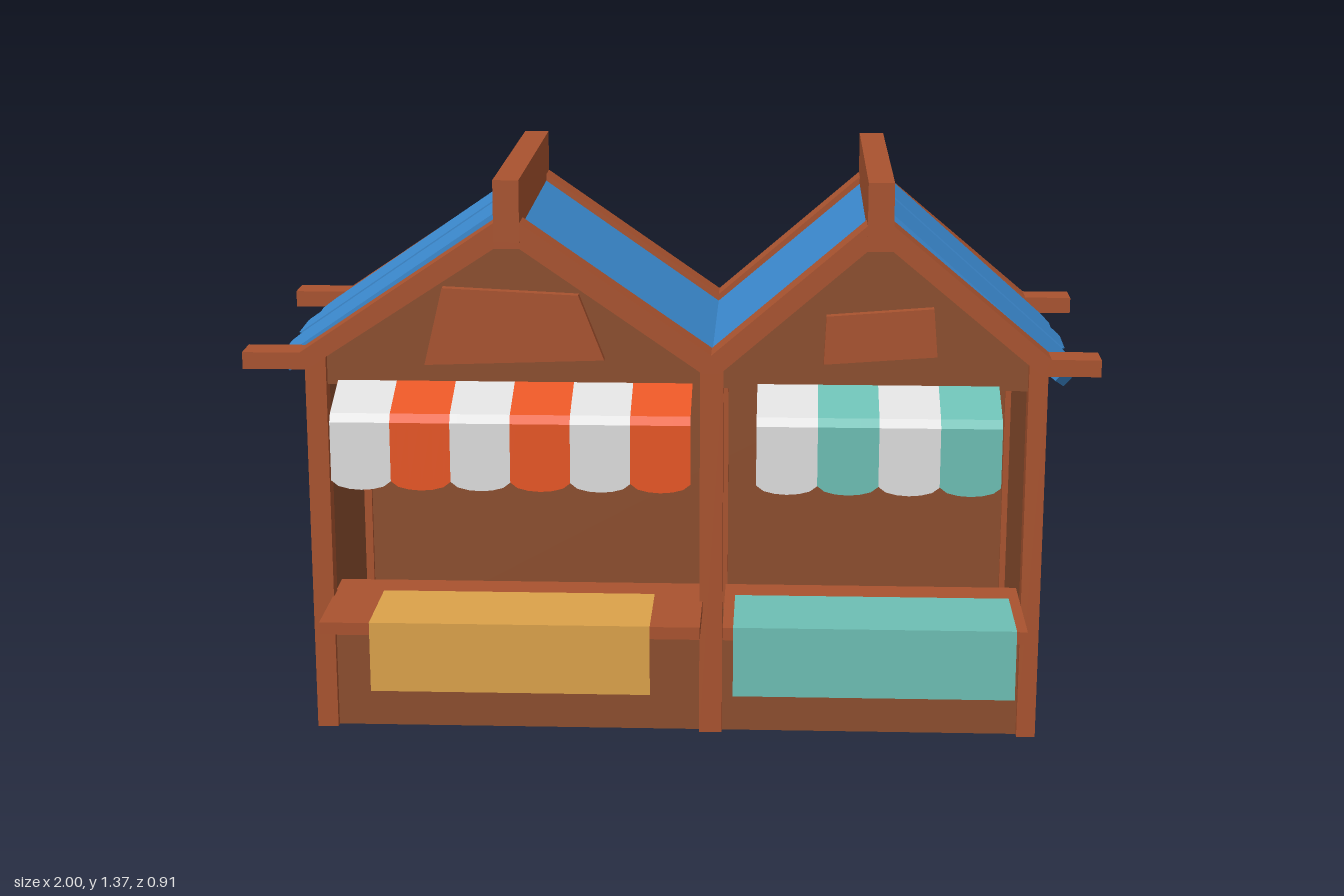
import * as THREE from 'three';

export function createModel() {
  const root = new THREE.Group();
  const mat = (name, color, side = THREE.FrontSide) => {
    const m = new THREE.MeshStandardMaterial({ color, side });
    m.name = name;
    return m;
  };
  const wallWood = mat('wall wood', 0x8c4e2e);
  const trimWood = mat('trim wood', 0xa9532f);
  const blue = mat('roof blue', 0x3b8ad0);
  const white = mat('awning white', 0xdedede, THREE.DoubleSide);
  const orange = mat('awning orange', 0xec5826, THREE.DoubleSide);
  const teal = mat('cloth teal', 0x6dbfb4, THREE.DoubleSide);
  const yellow = mat('cloth yellow', 0xdca24a, THREE.DoubleSide);

  const add = (name, geo, material) => {
    const mesh = new THREE.Mesh(geo, material);
    mesh.name = name;
    root.add(mesh);
    return mesh;
  };
  // box given by its limits on each axis
  const box = (name, m, x0, x1, y0, y1, z0, z1) => {
    const g = new THREE.BoxGeometry(x1 - x0, y1 - y0, z1 - z0);
    g.translate((x0 + x1) / 2, (y0 + y1) / 2, (z0 + z1) / 2);
    return add(name, g, m);
  };
  const shapeOf = (pts) => new THREE.Shape(pts.map(([x, y]) => new THREE.Vector2(x, y)));
  // outline in x and y, extruded from z0 to z1
  const slab = (name, m, pts, z0, z1) => {
    const g = new THREE.ExtrudeGeometry(shapeOf(pts), { depth: z1 - z0, bevelEnabled: false });
    g.translate(0, 0, z0);
    return add(name, g, m);
  };

  // corner and middle posts
  for (const [x0, x1] of [[-0.865, -0.815], [0.07, 0.125], [0.84, 0.885]]) {
    box('frontPost', trimWood, x0, x1, 0, 0.93, 0.21, 0.257);
    box('backPost', trimWood, x0, x1, 0, 0.93, -0.393, -0.348);
  }

  // side walls and partition
  box('rightWall', wallWood, -0.853, -0.835, 0, 0.92, -0.36, 0.22);
  box('leftWall', wallWood, 0.855, 0.873, 0, 0.92, -0.36, 0.22);
  box('partition', wallWood, 0.088, 0.106, 0, 0.92, -0.36, 0.22);

  // back wall and front gables, both following the double roof line
  const roofLine = [[0.86, 0.93], [0.5, 1.23], [0.47, 1.23], [0.0975, 0.93], [-0.36, 1.23], [-0.39, 1.23], [-0.84, 0.93]];
  slab('backWall', wallWood, [[-0.84, 0], [0.86, 0], ...roofLine], -0.378, -0.36);
  slab('frontGable', wallWood, [[-0.84, 0.86], [0.86, 0.86], ...roofLine], 0.22, 0.238);
  box('frontWallRight', wallWood, -0.83, 0.08, 0, 0.31, 0.222, 0.238);
  box('frontWallLeft', wallWood, 0.11, 0.86, 0, 0.31, 0.222, 0.238);

  // zigzag roof trim, front and back
  const trim = [
    [-1, 0.915], [-0.85, 0.915], [-0.405, 1.205], [-0.345, 1.205], [0.075, 0.915], [0.12, 0.915],
    [0.455, 1.205], [0.515, 1.205], [0.865, 0.915], [1, 0.915],
    [1, 0.955], [0.885, 0.955], [0.515, 1.265], [0.455, 1.265], [0.0975, 0.957],
    [-0.345, 1.265], [-0.405, 1.265], [-0.865, 0.955], [-1, 0.955],
  ];
  slab('frontRoofTrim', trimWood, trim, 0.236, 0.318);
  slab('backRoofTrim', trimWood, trim, -0.455, -0.376);

  // ridge beams
  box('ridgeBeam', trimWood, -0.405, -0.345, 1.22, 1.365, -0.456, 0.319);
  box('ridgeBeam', trimWood, 0.455, 0.515, 1.22, 1.365, -0.456, 0.319);

  // flat roof sheets, one on each slope
  const slopes = [
    [-0.87, 0.94, -0.39, 1.26], [-0.36, 1.26, 0.0975, 0.94],
    [0.0975, 0.94, 0.47, 1.26], [0.5, 1.26, 0.885, 0.94],
  ];
  for (const [x0, y0, x1, y1] of slopes)
    slab('roofSheet', blue, [[x0, y0 - 0.025], [x1, y1 - 0.025], [x1, y1], [x0, y0]], -0.377, 0.237);

  // loose planks on the outer slopes: [z0, z1, length factor, cut at each low corner]
  const planks = [
    [-0.372, -0.252, 0.95, 0.03, 0.008], [-0.25, -0.077, 0.985, 0.006, 0.012],
    [-0.075, 0.038, 1, 0.03, 0.004], [0.04, 0.235, 0.97, 0.006, 0.035],
  ];
  const plankRow = (s, top, low) => {
    const dir = new THREE.Vector3(low[0] - top[0], low[1] - top[1], 0);
    const len = dir.length();
    dir.normalize();
    const across = new THREE.Vector3(0, 0, -s);
    const normal = new THREE.Vector3().crossVectors(dir, across);
    planks.forEach(([z0, z1, f, c0, c1], i) => {
      const L = len * f;
      const pts = [[0, z0], [L - c0, z0], [L, z0 + c0 * 0.6 + 0.01], [L - 0.004, z1 - c1 * 0.6 - 0.01], [L - c1, z1], [0, z1]]
        .map(([u, z]) => [u, -s * z]);
      const thick = 0.036 + (i % 2) * 0.003;
      const g = new THREE.ExtrudeGeometry(shapeOf(pts), { depth: thick, bevelEnabled: false });
      g.translate(0, 0, -0.036);
      const m = new THREE.Matrix4().makeBasis(dir, across, normal).setPosition(top[0], top[1], 0);
      add('roofPlank', g.applyMatrix4(m), blue);
    });
  };
  plankRow(1, [0.515, 1.275], [0.967, 0.877]);
  plankRow(-1, [-0.405, 1.275], [-0.952, 0.9]);

  // crooked gable signs
  slab('gableSign', trimWood, [[-0.58, 0.915], [-0.155, 0.93], [-0.215, 1.085], [-0.535, 1.1]], 0.23, 0.262);
  slab('gableSign', trimWood, [[0.36, 0.925], [0.625, 0.945], [0.615, 1.06], [0.365, 1.04]], 0.23, 0.262);

  // counters
  box('counter', trimWood, -0.818, 0.077, 0.305, 0.335, 0.12, 0.447);
  box('counter', trimWood, 0.13, 0.84, 0.305, 0.335, 0.12, 0.447);

  // thin sheet from a grid of point rows
  const sheet = (name, m, rows) => {
    const n = rows[0].length, idx = [];
    for (let r = 0; r < rows.length - 1; r++)
      for (let i = 0; i < n - 1; i++) {
        const a = r * n + i, b = a + n;
        idx.push(a, b, a + 1, a + 1, b, b + 1);
      }
    let g = new THREE.BufferGeometry();
    g.setAttribute('position', new THREE.Float32BufferAttribute(rows.flat(2), 3));
    g.setIndex(idx);
    g = g.toNonIndexed();
    g.computeVertexNormals();
    return add(name, g, m);
  };

  // cloths draped over the counters
  const cloth = (m, x0, x1) => sheet('counterCloth', m,
    [[0.337, 0.21], [0.337, 0.45], [0.167, 0.45]].map(([y, z]) => [[x0, y, z], [x1, y, z]]));
  cloth(yellow, -0.7, -0.04);
  cloth(teal, 0.155, 0.815);

  // striped awnings with scalloped hems
  const awning = (x0, x1, count, colours) => {
    const w = (x1 - x0) / count;
    for (let k = 0; k < count; k++) {
      const ts = [0, 0.12, 0.3, 0.5, 0.7, 0.88, 1];
      const row = (y, z, dip) => ts.map((t) => [x0 + (k + t) * w, y - dip * Math.sqrt(Math.sin(Math.PI * Math.min(t, 0.9999))), z]);
      sheet('awningStripe', colours[k % 2],
        [row(0.876, 0.225, 0), row(0.822, 0.362, 0), row(0.803, 0.376, 0), row(0.662, 0.376, 0.022)]);
    }
  };
  awning(-0.79, 0.052, 6, [white, orange]);
  awning(0.205, 0.773, 4, [white, teal]);

  return root;
}
